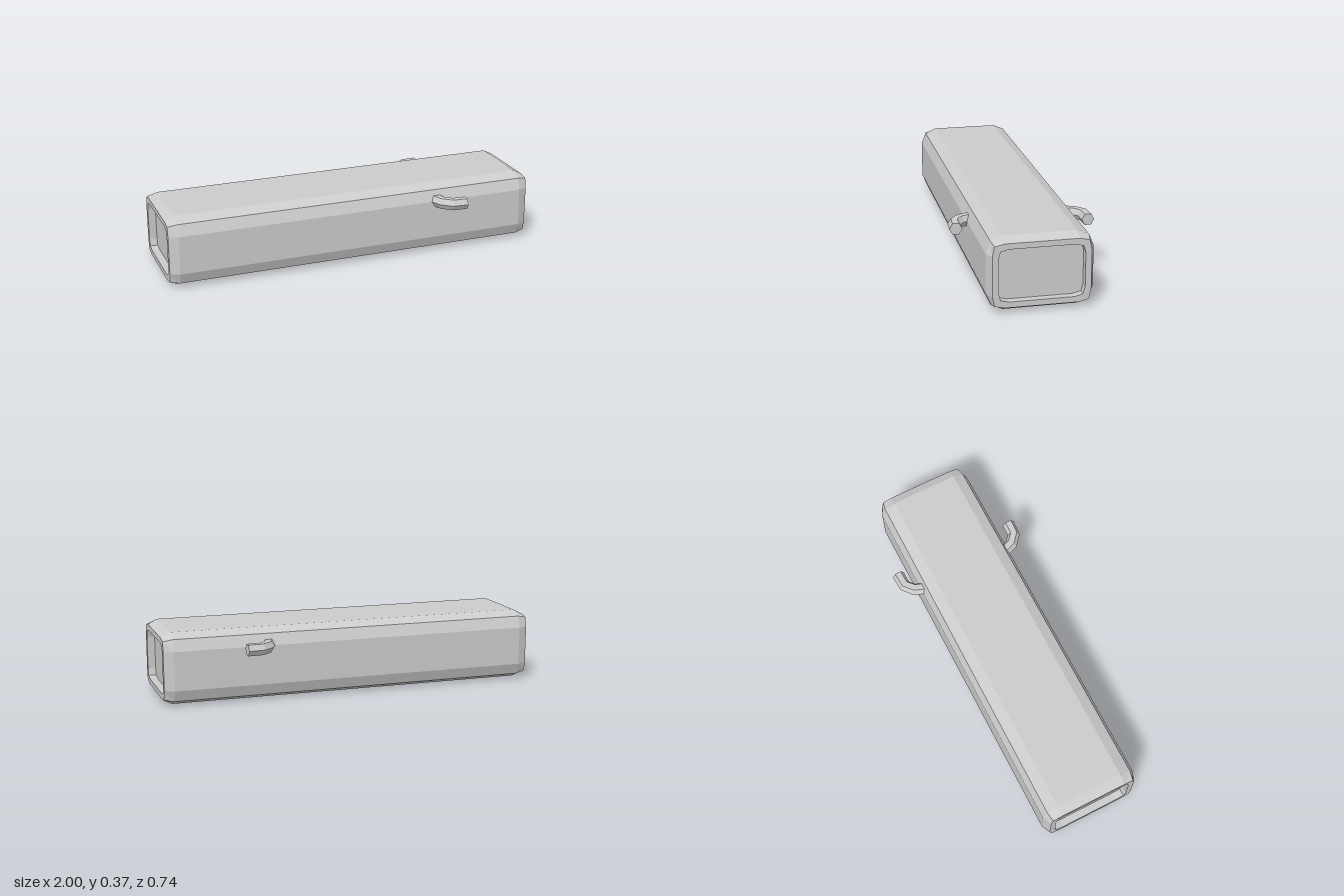
import * as THREE from 'three';

const material = new THREE.MeshStandardMaterial({ color: 0xcccccc, flatShading: true });

// Skin a list of equal-sized point rings and cap both ends.
function loft(rings, name) {
  const pos = [];
  const tri = (...pts) => pts.forEach((p) => pos.push(p.x, p.y, p.z));
  const n = rings[0].length;
  for (let i = 0; i < rings.length - 1; i++) {
    for (let j = 0; j < n; j++) {
      const k = (j + 1) % n;
      const a = rings[i][j], b = rings[i][k], c = rings[i + 1][k], d = rings[i + 1][j];
      tri(a, b, c);
      tri(a, c, d);
    }
  }
  const first = rings[0], last = rings[rings.length - 1];
  for (let j = 1; j < n - 1; j++) {
    tri(first[0], first[j + 1], first[j]);
    tri(last[0], last[j], last[j + 1]);
  }
  const geometry = new THREE.BufferGeometry();
  geometry.setAttribute('position', new THREE.Float32BufferAttribute(pos, 3));
  geometry.computeVertexNormals();
  const mesh = new THREE.Mesh(geometry, material);
  mesh.name = name;
  return mesh;
}

// Rounded-rectangle ring from one corner given as [z, y] offsets, top to side.
function bodyRing(x, corner) {
  const back = [...corner].reverse();
  const loop = [
    ...corner,
    ...back.map(([z, y]) => [z, -y]),
    ...corner.map(([z, y]) => [-z, -y]),
    ...back.map(([z, y]) => [-z, y]),
  ];
  return loop.map(([z, y]) => new THREE.Vector3(x, 0.186 + y, z));
}

// Hollow-ended bar with bevelled rims
function createBody() {
  const outer = [[0.18, 0.186], [0.238, 0.16], [0.262, 0.101]];
  const rim = [[0.18, 0.161], [0.229, 0.15], [0.24, 0.1]];
  const opening = [[0.16, 0.132], [0.2, 0.122], [0.21, 0.085]];
  const half = [[0.96, opening], [1, opening], [1, rim], [0.95, outer]];
  const stations = [...half.map(([x, c]) => [-x, c]), ...half.reverse()];
  return loft(stations.map(([x, c]) => bodyRing(x, c)), 'body');
}

// Hexagonal bar bent outwards and then forwards along the body
function createHook(side, name) {
  const up = new THREE.Vector3(0, 1, 0);
  const path = [[0.455, 0.24], [0.474, 0.294], [0.518, 0.332], [0.592, 0.336]]
    .map(([x, z]) => new THREE.Vector3(x, 0.288, z * side));
  const rings = path.map((p, i) => {
    const before = path[Math.max(i - 1, 0)], after = path[Math.min(i + 1, path.length - 1)];
    const tangent = new THREE.Vector3();
    if (p !== before) tangent.add(p.clone().sub(before).normalize());
    if (p !== after) tangent.add(after.clone().sub(p).normalize());
    const across = new THREE.Vector3().crossVectors(up, tangent.normalize());
    return Array.from({ length: 6 }, (_, j) => {
      const a = (j * Math.PI) / 3;
      return p.clone()
        .addScaledVector(across, 0.033 * Math.cos(a))
        .addScaledVector(up, 0.033 * Math.sin(a));
    });
  });
  return loft(rings, name);
}

export function createModel() {
  const model = new THREE.Group();
  model.name = 'hookedBar';
  model.add(createBody(), createHook(1, 'frontHook'), createHook(-1, 'backHook'));
  return model;
}
